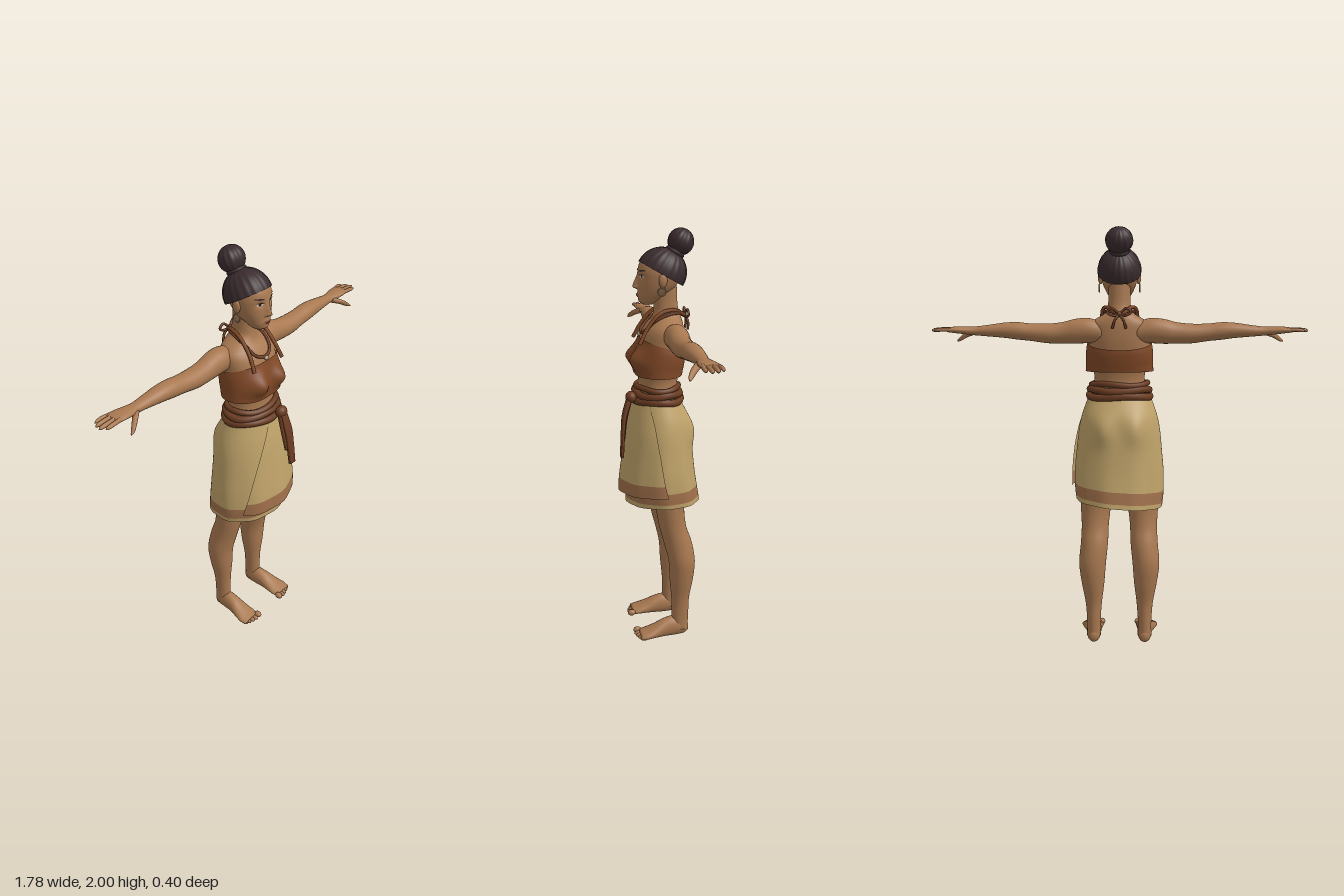
import * as THREE from 'three';

const mat = (name, color, side = THREE.FrontSide) => {
  const m = new THREE.MeshStandardMaterial({ color, side });
  m.name = name;
  return m;
};
const gauss = (d, w) => Math.exp(-((d / w) ** 2));
const smooth = THREE.MathUtils.smoothstep;

// Smooth interpolation through cross-section rows keyed by their first number
function spline(rows) {
  const slope = (i, k) => {
    const a = rows[Math.max(i - 1, 0)], b = rows[Math.min(i + 1, rows.length - 1)];
    return (b[k] - a[k]) / (b[0] - a[0]);
  };
  return t => {
    let i = 0;
    while (i < rows.length - 2 && t > rows[i + 1][0]) i++;
    const a = rows[i], b = rows[i + 1], h = b[0] - a[0], s = (t - a[0]) / h, s2 = s * s, s3 = s2 * s;
    return a.map((v, k) => (2 * s3 - 3 * s2 + 1) * v + (s3 - 2 * s2 + s) * h * slope(i, k)
      + (3 * s2 - 2 * s3) * b[k] + (s3 - s2) * h * slope(i + 1, k));
  };
}

// Skin elliptical sections [t, centreU, centreV, radiusU, radiusV]; (u, v) is (z, x) on y, (x, y) on z, (y, z) on x
function loft(parent, name, material, rowsIn, o = {}) {
  const { n = 24, seg = 32, axis = 'y', e = 1, warp, arc, cap = !o.arc } = o;
  const rows = [...rowsIn].sort((a, b) => a[0] - b[0]);
  const f = spline(rows), t0 = o.t0 ?? rows[0][0], t1 = o.t1 ?? rows[rows.length - 1][0];
  const rings = Array.from({ length: n + 1 }, (_, i) => [t0 + (t1 - t0) * i / n, 1]);
  if (cap) { rings.unshift([t0, 0]); rings.push([t1, 0]); }
  const pow = v => Math.sign(v) * Math.abs(v) ** e;
  const cols = arc ? seg + 1 : seg, pos = [], index = [];
  for (const [t, open] of rings) {
    const [, cu, cv, ru, rv] = f(t);
    for (let j = 0; j < cols; j++) {
      const a = arc ? arc(j / seg, t) : j / seg * Math.PI * 2;
      const u = cu + open * Math.max(ru, 0) * pow(Math.cos(a)), v = cv + open * Math.max(rv, 0) * pow(Math.sin(a));
      const p = axis === 'y' ? new THREE.Vector3(v, t, u)
        : axis === 'z' ? new THREE.Vector3(u, v, t) : new THREE.Vector3(t, u, v);
      if (warp) warp(p, a, t);
      pos.push(p.x, p.y, p.z);
    }
  }
  for (let i = 0; i < rings.length - 1; i++) for (let j = 0; j < seg; j++) {
    const a = i * cols + j, b = i * cols + (j + 1) % cols;
    index.push(a, b, b + cols, a, b + cols, a + cols);
  }
  const g = new THREE.BufferGeometry();
  g.setAttribute('position', new THREE.Float32BufferAttribute(pos, 3));
  g.setIndex(index);
  g.computeVertexNormals();
  return add(parent, name, g, material);
}
function add(parent, name, g, material) {
  const m = new THREE.Mesh(g, material);
  m.name = name;
  parent.add(m);
  return m;
}
// [y, half width, front z, back z] to a loft row
const body = rows => rows.map(([y, rx, zf, zb]) => [y, (zf + zb) / 2, 0, (zf - zb) / 2, rx]);
const cord = (parent, name, pts, r, material, closed = false) => add(parent, name, new THREE.TubeGeometry(
  new THREE.CatmullRomCurve3(pts.map(p => new THREE.Vector3(...p)), closed), closed ? 80 : 28, r, 8, closed), material);
const ball = (parent, name, material, [x, y, z], [a, b, c]) =>
  add(parent, name, new THREE.SphereGeometry(1, 20, 14).scale(a, b, c).translate(x, y, z), material);

export function createModel() {
  const root = new THREE.Group();
  root.name = 'woman';
  const skin = mat('skin', 0xa87850), hair = mat('hair', 0x3a2b2e, THREE.DoubleSide);
  const leather = mat('leather', 0x804826, THREE.DoubleSide), belt = mat('belt', 0x6b3c22);
  const cloth = mat('cloth', 0xbfa269, THREE.DoubleSide), trim = mat('trim', 0xa0704b, THREE.DoubleSide);
  const bone = mat('bone', 0xb3a184), white = mat('eye white', 0xd8cfc4);
  const dark = mat('iris', 0x2a1a14), lip = mat('lips', 0x8a5040);

  // Torso and neck
  loft(root, 'torso', skin, body([[1.12, .14, .11, -.1], [1.25, .125, .1, -.085], [1.3, .12, .097, -.085],
    [1.36, .133, .1, -.095], [1.42, .145, .1, -.105], [1.48, .147, .093, -.112], [1.53, .15, .076, -.112],
    [1.56, .14, .056, -.11], [1.585, .1, .036, -.105], [1.61, .062, .028, -.097], [1.65, .053, .024, -.087],
    [1.75, .052, .03, -.082]]), { n: 50, seg: 48, e: .9 });

  // Head with modelled nose, lips, brow and chin
  const headRows = body([[1.655, .02, .075, .03], [1.667, .038, .09, .015], [1.685, .052, .097, -.01], [1.705, .064, .099, -.04],
    [1.735, .077, .1, -.075], [1.77, .086, .099, -.095], [1.81, .089, .099, -.105], [1.85, .081, .086, -.1],
    [1.885, .055, .05, -.075], [1.9, .02, .015, -.04]]);
  const headAt = spline(headRows), E = .92;
  const relief = (x, y) => .024 * gauss(x, .012) * smooth(y, 1.722, 1.737) * (1 - smooth(y, 1.737, 1.812))
    + .006 * gauss(Math.abs(x) - .012, .008) * gauss(y - 1.735, .009)
    - .009 * gauss(Math.abs(x) - .037, .018) * gauss(y - 1.787, .014)
    + .007 * gauss(x, .022) * gauss(y - 1.7, .01) + .004 * gauss(x, .02) * gauss(y - 1.67, .01);
  loft(root, 'head', skin, headRows, {
    n: 70, seg: 96, e: E, warp: (p, a) => { if (Math.cos(a) > 0) p.z += relief(p.x, p.y); },
  });
  const faceZ = (x, y) => {
    const [, cz, , rz, rx] = headAt(y);
    return cz + rz * (1 - Math.min(Math.abs(x / rx), 1) ** (2 / E)) ** (E / 2) + relief(x, y);
  };
  const decal = (name, m, x, y, w, h, off, tilt = 0) => {
    const g = new THREE.CircleGeometry(1, 24).scale(w, h, 1).rotateZ(tilt).translate(x, y, 0), p = g.attributes.position;
    for (let i = 0; i < p.count; i++) p.setZ(i, faceZ(p.getX(i), p.getY(i)) + off);
    g.computeVertexNormals();
    add(root, name, g, m);
  };
  decal('upperLip', lip, 0, 1.7035, .023, .0045, .002);
  decal('lowerLip', lip, 0, 1.6955, .019, .005, .002);

  // Hair cap swept back, bun and tie
  const ridged = (k, depth, theta) => {
    const g = new THREE.SphereGeometry(1, 96, 24, 0, Math.PI * 2, 0, theta), p = g.attributes.position;
    for (let i = 0; i < p.count; i++) {
      const s = 1 + depth * Math.sin(k * Math.atan2(p.getX(i), p.getZ(i))) * Math.hypot(p.getX(i), p.getZ(i));
      p.setXYZ(i, p.getX(i) * s, p.getY(i) * s, p.getZ(i) * s);
    }
    g.computeVertexNormals();
    return g;
  };
  add(root, 'hairCap', ridged(20, .014, Math.PI / 2 + .06).rotateX(-.52).scale(.103, .115, .117).translate(0, 1.8, -.012), hair);
  add(root, 'hairBun', ridged(14, .02, Math.PI).rotateX(-.5).scale(.064, .062, .06).translate(0, 1.938, -.102), hair);
  add(root, 'hairTie', new THREE.TorusGeometry(.034, .013, 10, 28).rotateX(Math.PI / 2 - .5).translate(0, 1.892, -.075), hair);

  // Bandeau top, lower at the back
  loft(root, 'bandeau', leather, body([[1.33, .163, .118, -.105], [1.37, .161, .115, -.11], [1.42, .161, .106, -.116],
    [1.47, .158, .102, -.12], [1.505, .152, .096, -.12]]), {
    n: 24, seg: 80, cap: false, e: .9, warp: (p, a, t) => {
      if (Math.cos(a) > 0) p.z += .05 * gauss(Math.abs(p.x) - .07, .055) * gauss(t - 1.41, .05);
      p.y -= .035 * (1 - Math.cos(a)) * (t - 1.33) / .175;
    },
  });

  // Skirt: wrapped under layer with a trimmed hem
  const low = y => smooth(1.15 - y, 0, .45);
  const skirtRows = body([[.69, .21, .165, -.195], [.75, .216, .165, -.185], [.85, .216, .16, -.17], [.95, .207, .155, -.16],
    [1.05, .196, .145, -.15], [1.12, .181, .135, -.137], [1.2, .153, .12, -.1]]);
  const drape = (p, a, t) => {
    const s = 1 + .013 * Math.sin(9 * a + 1) * low(t);
    p.x *= s; p.z *= s;
    p.y += .08 * p.x * low(t);
    if (p.z < 0) p.z -= .02 * gauss(Math.abs(p.x) - .08, .05) * gauss(t - 1.06, .07);
  };
  [['skirtHem', cloth, .69, .712], ['skirtTrim', trim, .712, .768], ['skirt', cloth, .768, 1.2]].forEach(([name, m, t0, t1]) =>
    loft(root, name, m, skirtRows, { t0, t1, n: Math.ceil((t1 - t0) * 60), seg: 96, cap: false, warp: drape }));

  // Overlapping front panel with a slanting edge
  const panelRows = body([[.75, .229, .2, -.19], [.82, .23, .196, -.18], [.95, .223, .176, -.17], [1.05, .211, .16, -.16],
    [1.12, .193, .146, -.15], [1.2, .158, .124, -.1]]);
  const arc = (s, t) => {
    const d = (1.2 - t) / .45;
    return THREE.MathUtils.lerp(-.05 - .95 * d ** .75, 1 + .62 * d ** .7, s);
  };
  [['panelTrim', trim, .75, .815], ['panel', cloth, .815, 1.2]].forEach(([name, m, t0, t1]) =>
    loft(root, name, m, panelRows, { t0, t1, n: Math.ceil((t1 - t0) * 60), seg: 48, arc, warp: drape }));

  // Rolled belt, knot and hanging sash ends
  [[1.268, .135, .1, .014], [1.24, .142, .105, .018], [1.21, .146, .11, .018]].forEach(([y, rx, rz, r], k) =>
    cord(root, 'beltRoll', Array.from({ length: 24 }, (_, i) => {
      const a = i / 24 * Math.PI * 2;
      return [rx * Math.sin(a), y + .005 * Math.sin(3 * a + 2 * k), .01 + rz * Math.cos(a)];
    }), r, belt, true));
  ball(root, 'sashKnot', belt, [.055, 1.228, .145], [.032, .028, .026]);
  loft(root, 'sashLong', belt, [[.945, .195, .084, .008, .021], [1.05, .188, .074, .009, .023], [1.14, .178, .064, .011, .025],
    [1.23, .15, .056, .014, .02]], { e: .5 });
  loft(root, 'sashShort', belt, [[1.03, .183, .062, .007, .019], [1.12, .172, .05, .009, .02], [1.23, .146, .045, .012, .016]], { e: .5 });

  // Necklace, pendant and knot behind the neck
  const half = [[.05, 1.54, .075], [.07, 1.585, .03], [.068, 1.612, -.03], [.04, 1.615, -.09]];
  cord(root, 'necklace', [[0, 1.523, .088], ...half, [0, 1.6, -.112],
    ...half.map(([x, y, z]) => [-x, y, z]).reverse()], .007, belt, true);
  ball(root, 'pendant', bone, [0, 1.518, .096], [.013, .009, .008]);
  ball(root, 'neckKnot', belt, [0, 1.602, -.12], [.015, .013, .012]);

  for (const s of [1, -1]) {
    const side = new THREE.Group();
    side.name = s > 0 ? 'leftSide' : 'rightSide';
    root.add(side);

    // Eyes, brows, ears and earrings
    decal('eye', white, s * .038, 1.787, .016, .0065, .002, s * .08);
    decal('iris', dark, s * .038, 1.787, .0065, .0063, .0035);
    decal('eyelid', dark, s * .039, 1.7935, .018, .0025, .004, s * .08);
    decal('brow', hair, s * .043, 1.813, .022, .0038, .003, s * .1);
    ball(side, 'ear', skin, [s * .09, 1.772, -.002], [.012, .032, .02]);
    add(side, 'earring', new THREE.TorusGeometry(.018, .003, 8, 24).rotateY(Math.PI / 2).translate(s * .096, 1.722, .004), bone);

    // Halter strap, bow loop and tail
    cord(side, 'strap', [[s * .1, 1.485, .108], [s * .088, 1.555, .07], [s * .08, 1.62, .01], [s * .055, 1.632, -.06],
      [s * .01, 1.602, -.12]], .009, leather);
    cord(side, 'bowLoop', [[0, 1.602, -.12], [s * .035, 1.63, -.128], [s * .055, 1.612, -.13], [s * .03, 1.596, -.13], [0, 1.602, -.12]], .006, belt);
    cord(side, 'bowTail', [[0, 1.602, -.122], [s * .02, 1.575, -.134], [s * .032, 1.535, -.132]], .006, belt);

    // Arm, palm, fingers and thumb
    const limb = (name, rows, n = 10, seg = 12) =>
      loft(side, name, skin, rows.map(([x, ...r]) => [s * x, ...r]), { axis: 'x', n, seg });
    limb('arm', [[.08, 1.515, -.05, .05, .05], [.15, 1.524, -.05, .059, .056], [.21, 1.52, -.05, .058, .054],
      [.27, 1.513, -.046, .05, .051], [.34, 1.51, -.045, .046, .05], [.42, 1.516, -.046, .041, .045], [.48, 1.522, -.047, .041, .045],
      [.54, 1.525, -.048, .036, .042], [.62, 1.523, -.05, .027, .034], [.68, 1.522, -.05, .021, .029], [.72, 1.524, -.05, .019, .035],
      [.77, 1.527, -.052, .016, .042], [.81, 1.527, -.054, .011, .04]], 60, 28);
    [[-.089, .867, .0085], [-.065, .884, .01], [-.04, .889, .01], [-.018, .872, .0095]].forEach(([z, tip, r]) => {
      const zi = -.053 + (z + .053) * .82;
      limb('finger', [[.775, 1.528, zi, r, r], [.83, 1.529, z, r, r], [tip - .012, 1.526, z, r * .85, r * .85], [tip, 1.524, z, r * .3, r * .3]]);
    });
    limb('thumb', [[.69, 1.518, -.035, .015, .018], [.73, 1.503, -.005, .014, .016], [.765, 1.482, .018, .011, .011], [.782, 1.472, .025, .004, .004]]);

    // Leg, foot and toes
    loft(side, 'leg', skin, [[.03, -.085, .125, .038, .034], [.1, -.084, .125, .042, .033], [.2, -.085, .125, .045, .04],
      [.3, -.089, .128, .058, .055], [.4, -.09, .13, .065, .065], [.5, -.071, .121, .069, .066], [.58, -.047, .118, .066, .066],
      [.68, -.033, .115, .069, .074], [.85, -.03, .11, .085, .085], [1, -.03, .095, .085, .085]]
      .map(([y, z, x, rz, rx]) => [y, z, s * x, rz, rx]), { n: 50 });
    loft(side, 'foot', skin, [[-.124, .125, .035, .014, .02], [-.105, .125, .038, .03, .037], [-.05, .126, .045, .036, .052],
      [0, .129, .04, .04, .046], [.05, .134, .028, .049, .032], [.09, .137, .02, .055, .022], [.122, .137, .016, .05, .015]]
      .map(([z, x, ...r]) => [z, s * x, ...r]), { axis: 'z', warp: p => { p.y = Math.max(p.y, .001); } });
    [[.092, .128, .016], [.117, .127, .011], [.138, .122, .011], [.158, .115, .01], [.177, .106, .01]].forEach(([x, z, r]) =>
      ball(side, 'toe', skin, [s * x, r + .003, z], [r, r, .021]));
  }
  return root;
}
